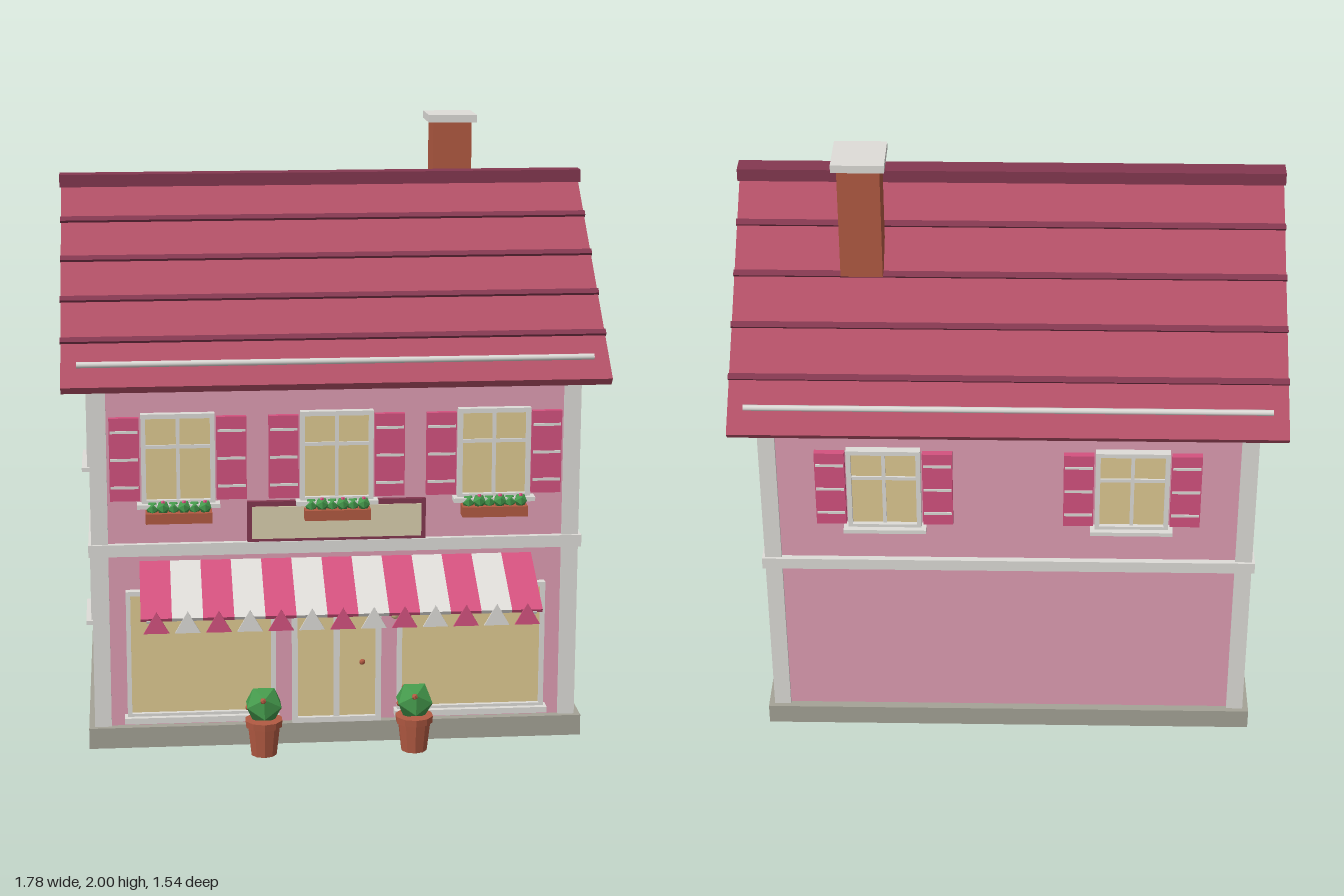
import * as THREE from 'three';

const mat = (name, color, opts = {}) => {
  const m = new THREE.MeshStandardMaterial({ color, ...opts });
  m.name = name;
  return m;
};

export function createModel() {
  const M = {
    wall: mat('pink wall', 0xdf9db3),
    trim: mat('pale trim', 0xdedcd8),
    roof: mat('red roof', 0xb25066),
    dark: mat('dark ridge', 0x843850),
    glass: mat('warm glass', 0xdfca92),
    stone: mat('grey stone', 0xa4a296),
    pink: mat('bright pink', 0xd4527f, { side: THREE.DoubleSide }),
    brick: mat('brick', 0xb25a42, { flatShading: true }),
    leaf: mat('leaf green', 0x459a4c, { flatShading: true }),
    cream: mat('cream board', 0xdacfae),
  };
  const ZC = -0.077, HX = 0.79, HZ = 0.595, FRONT = ZC + HZ;
  const model = new THREE.Group();
  model.name = 'shopHouse';

  const add = (parent, name, geo, material, x = 0, y = 0, z = 0) => {
    const m = new THREE.Mesh(geo, material);
    m.name = name;
    m.position.set(x, y, z);
    parent.add(m);
    return m;
  };
  const box = (parent, name, material, w, h, d, x, y, z) =>
    add(parent, name, new THREE.BoxGeometry(w, h, d), material, x, y, z);
  const group = (parent, name, x, y, z, ry = 0) => {
    const g = new THREE.Group();
    g.name = name;
    g.position.set(x, y, z);
    g.rotation.y = ry;
    parent.add(g);
    return g;
  };

  // Foundation, and walls with gables extruded along x
  box(model, 'foundation', M.stone, 1.64, 0.07, 1.245, 0, 0.035, ZC);
  const section = new THREE.Shape([[-HZ, 0.06], [HZ, 0.06], [HZ, 1.28], [0, 1.765], [-HZ, 1.28]]
    .map(([x, y]) => new THREE.Vector2(x, y)));
  const walls = new THREE.ExtrudeGeometry(section, { depth: 2 * HX, bevelEnabled: false });
  walls.translate(0, 0, -HX).rotateY(Math.PI / 2);
  add(model, 'walls', walls, M.wall, 0, 0, ZC);

  // Corner posts and horizontal bands
  for (const sx of [-1, 1]) for (const sz of [-1, 1])
    box(model, 'cornerPost', M.trim, 0.055, 1.18, 0.055, sx * 0.773, 0.66, ZC + sz * 0.579);
  box(model, 'floorBand', M.trim, 1.62, 0.04, 1.23, 0, 0.675, ZC);
  box(model, 'eaveBand', M.trim, 1.62, 0.042, 1.2, 0, 1.271, ZC);

  // Roof slopes with tile courses and gutters
  const pitch = Math.atan(0.817), slopeLength = 0.69 / Math.cos(pitch);
  for (const ry of [0, Math.PI]) {
    const side = group(model, 'roofSide', 0, 1.8, ZC, ry);
    const slope = group(side, 'roofSlope', 0, 0, 0);
    slope.rotation.x = pitch;
    box(slope, 'roofPanel', M.roof, 1.77, 0.03, slopeLength, 0, -0.015, slopeLength / 2);
    for (let i = 1; i <= 4; i++)
      box(slope, 'tileCourse', M.dark, 1.775, 0.012, 0.02, 0, 0.004, i * 0.175);
    const gutter = add(slope, 'gutter', new THREE.CylinderGeometry(0.01, 0.01, 1.67, 8), M.trim, 0, 0.006, 0.803);
    gutter.rotation.z = Math.PI / 2;
  }
  box(model, 'roofRidge', M.dark, 1.78, 0.042, 0.066, 0, 1.808, ZC);

  // Chimney
  box(model, 'chimney', M.brick, 0.135, 0.39, 0.135, 0.473, 1.785, -0.315);
  box(model, 'chimneyCap', M.trim, 0.168, 0.026, 0.168, 0.473, 1.987, -0.32);

  // Framed opening standing on a wall plane at local z = 0
  const frame = (parent, w, h, t, y = 0) => {
    for (const s of [-1, 1]) {
      box(parent, 'frameSide', M.trim, t, h, 0.03, s * (w - t) / 2, y, 0.012);
      box(parent, 'frameRail', M.trim, w, t, 0.03, 0, y + s * (h - t) / 2, 0.012);
    }
    box(parent, 'glass', M.glass, w - t, h - t, 0.016, 0, y, 0.004);
  };
  const houseWindow = (x, y, z, ry, w, h, { cross = false, shutters = false } = {}) => {
    const g = group(model, 'window', x, y, z, ry);
    frame(g, w, h, 0.015);
    box(g, 'mullion', M.trim, 0.012, h, 0.02, 0, 0, 0.008);
    if (cross) box(g, 'crossbar', M.trim, w, 0.012, 0.02, 0, 0.04, 0.008);
    box(g, 'sill', M.trim, w + 0.03, 0.014, 0.05, 0, -h / 2 - 0.003, 0.02);
    if (!shutters) return g;
    for (const s of [-1, 1]) {
      const sh = group(g, 'shutter', s * (w / 2 + 0.054), 0, 0);
      box(sh, 'shutterPanel', M.pink, 0.097, 0.275, 0.024, 0, 0, 0.01);
      for (const dy of [-0.092, 0, 0.092])
        box(sh, 'shutterSlat', M.trim, 0.09, 0.009, 0.008, 0, dy, 0.021);
    }
    return g;
  };

  // Upper front windows with flower boxes
  for (const x of [-0.515, 0, 0.515]) {
    const g = houseWindow(x, 0.98, FRONT, 0, 0.238, 0.3, { cross: true, shutters: true });
    box(g, 'flowerBox', M.brick, 0.215, 0.034, 0.055, 0, -0.188, 0.038);
    for (let i = 0; i < 6; i++) {
      add(g, 'boxPlant', new THREE.IcosahedronGeometry(0.023), M.leaf,
        -0.085 + i * 0.034, -0.16 + (i % 2) * 0.006, 0.038 + (i % 2 ? 0.008 : -0.006));
      if (i % 2) add(g, 'boxFlower', new THREE.IcosahedronGeometry(0.008), M.pink,
        -0.085 + i * 0.034, -0.137, 0.05);
    }
  }
  // Rear windows
  for (const x of [-0.4, 0.4])
    houseWindow(x, 0.98, ZC - HZ, Math.PI, 0.238, 0.3, { cross: true, shutters: true });
  // Side windows
  for (const s of [-1, 1]) {
    const ry = s * Math.PI / 2;
    houseWindow(s * HX, 1.445, ZC, ry, 0.155, 0.165);
    houseWindow(s * HX, 0.98, ZC, ry, 0.238, 0.3);
    houseWindow(s * HX, 0.385, -0.235, ry, 0.238, 0.31);
  }

  // Shop windows and wall lamps
  for (const s of [-1, 1]) {
    const g = group(model, 'shopWindow', s * 0.447, 0.32, FRONT);
    frame(g, 0.49, 0.435, 0.015);
    box(g, 'shopSill', M.trim, 0.51, 0.02, 0.05, 0, -0.222, 0.02);
    const lamp = group(model, 'wallLamp', s * 0.19, 0.45, FRONT);
    box(lamp, 'lampArm', M.dark, 0.008, 0.008, 0.05, 0, 0.012, 0.025);
    add(lamp, 'lampGlobe', new THREE.SphereGeometry(0.017, 10, 8), M.glass, 0, 0, 0.055);
  }

  // Double door
  const door = group(model, 'door', 0, 0.31, FRONT);
  frame(door, 0.295, 0.48, 0.018);
  box(door, 'doorMeeting', M.trim, 0.02, 0.47, 0.024, 0, 0, 0.01);
  add(door, 'doorKnob', new THREE.SphereGeometry(0.01, 8, 6), M.brick, 0.085, -0.035, 0.02);

  // Blank sign board
  box(model, 'signFrame', M.dark, 0.585, 0.135, 0.022, 0, 0.763, FRONT + 0.006);
  box(model, 'signBoard', M.cream, 0.555, 0.108, 0.008, 0, 0.76, FRONT + 0.018);

  // Striped awning with a row of pennants
  const awning = group(model, 'awning', 0, 0, 0);
  const top = [0.63, 0.52], low = [0.51, 0.765], W = 1.29 / 13;
  const tilt = Math.atan2(top[0] - low[0], low[1] - top[1]);
  const run = Math.hypot(top[0] - low[0], low[1] - top[1]);
  const pennant = new THREE.ExtrudeGeometry(new THREE.Shape([
    new THREE.Vector2(-0.041, 0.467), new THREE.Vector2(0.041, 0.467), new THREE.Vector2(0, 0.538)]),
  { depth: 0.006, bevelEnabled: false });
  for (let i = 0; i < 13; i++) {
    const x = (i - 6) * W, m = i % 2 ? M.trim : M.pink;
    box(awning, 'awningStripe', m, W, 0.012, run, x, (top[0] + low[0]) / 2, (top[1] + low[1]) / 2)
      .rotation.x = tilt;
    add(awning, 'pennant', pennant, m, x, 0, 0.766);
  }
  for (const s of [-1, 1])
    box(awning, 'awningArm', M.trim, 0.012, 0.01, 0.26, s * 0.62, 0.546, 0.642).rotation.x = 0.335;

  // Potted shrubs beside the door
  const profile = [[0, 0], [0.043, 0], [0.054, 0.095], [0.061, 0.097], [0.063, 0.12], [0, 0.12]]
    .map(([r, y]) => new THREE.Vector2(r, y));
  for (const s of [-1, 1]) {
    const pot = group(model, 'pottedShrub', s * 0.248, 0, 0.632);
    add(pot, 'pot', new THREE.LatheGeometry(profile, 10), M.brick);
    add(pot, 'shrub', new THREE.IcosahedronGeometry(0.066), M.leaf, 0, 0.17, 0);
    for (let i = 0; i < 5; i++) {
      const a = i * 1.257 + 0.4;
      add(pot, 'shrubFlower', new THREE.IcosahedronGeometry(0.011), M.brick,
        Math.cos(a) * 0.052, 0.165 + (i % 2) * 0.035, Math.sin(a) * 0.052);
    }
  }
  return model;
}
